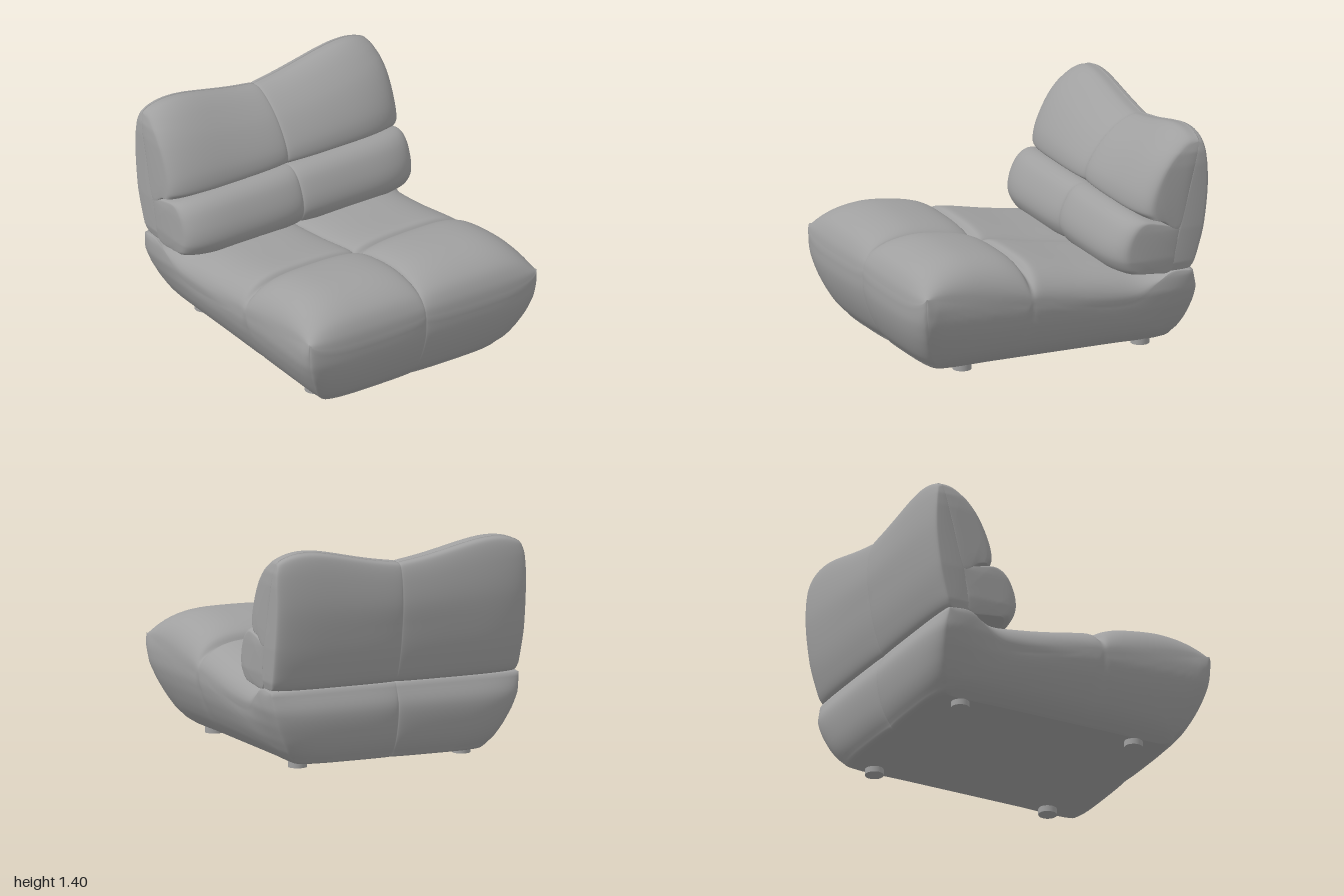
import * as THREE from 'three';
import { mergeVertices } from 'three/addons/utils/BufferGeometryUtils.js';

const upholstery = new THREE.MeshStandardMaterial({ color: 0xa0a0a0 });
upholstery.name = 'grey upholstery';

const HALF = 28;   // stations per half width
const N = 72;      // samples along each half of a cross-section
const ROWS = 14;   // rows on the side panels

// Smoothly sample a list of [z, y] points
function sample(points) {
  const curve = new THREE.CatmullRomCurve3(
    points.map(([z, y]) => new THREE.Vector3(0, y, z)), false, 'catmullrom', 0.5);
  return Array.from({ length: N + 1 }, (_, i) => curve.getPoint(i / N));
}

// Piecewise linear lookup in [[key, value], ...], eased between stops
function lookup(table, v) {
  if (v <= table[0][0]) return table[0][1];
  for (let i = 1; i < table.length; i++) {
    const [k0, v0] = table[i - 1], [k1, v1] = table[i];
    if (v <= k1) return v0 + (v1 - v0) * (v - k0) / (k1 - k0);
  }
  return table[table.length - 1][1];
}

// Padded form, lofted across x: full in the middle of each half, pinched at the
// centre seam and rounded off to the edge section at both sides.
function padded({ upper, lower, width, bulge, sag = 0, groove = null }) {
  const [um, ue, lm, le] = [upper.mid, upper.edge, lower.mid, lower.edge].map(sample);
  const pos = [], idx = [];
  const add = (x, y, z) => pos.push(x, Math.max(y, 0.037), z) / 3 - 1;
  const quad = (a, b, c, d) => idx.push(a, b, d, a, d, c);

  const station = (a) => {
    const t = Math.abs(a);
    const round = Math.sqrt(Math.max(0, 1 - Math.abs(2 * t - 1) ** 3));
    const fill = t < 0.5 ? 0.7 + 0.3 * round : round;
    const drop = sag * (1 - THREE.MathUtils.smoothstep(t, 0, 0.93));
    const put = (m, e) => {
      const y = e.y + (m.y - e.y) * fill, z = e.z + (m.z - e.z) * fill;
      return add(a * lookup(width, y), y - drop * Math.max(0, (y - 0.9) / 0.5), z);
    };
    const ring = um.map((m, i) => put(m, ue[i]));
    for (let i = N; i >= 0; i--) ring.push(put(lm[i], le[i]));
    return ring;
  };
  const rings = [];
  for (let i = -HALF; i <= HALF; i++) {
    rings.push(station(Math.sign(i) * (1 - Math.cos(Math.PI * Math.abs(i) / HALF)) / 2));
  }
  for (let i = 0; i < rings.length - 1; i++) {
    for (let j = 0; j < rings[i].length - 1; j++) {
      quad(rings[i][j], rings[i + 1][j], rings[i][j + 1], rings[i + 1][j + 1]);
    }
  }

  // Side panels
  for (const side of [1, -1]) {
    const rows = [];
    for (let r = 0; r <= ROWS; r++) {
      const t = r / ROWS;
      rows.push(ue.map((u, k) => {
        const p = u.clone().lerp(le[k], t);
        let swell = bulge * (1 - (2 * t - 1) ** 2) * Math.min(1, u.distanceTo(le[k]) / 0.25);
        if (groove !== null) swell *= 1 - 0.8 * Math.exp(-(((p.z - groove) / 0.02) ** 2));
        return add(side * (lookup(width, p.y) + swell), p.y, p.z);
      }));
    }
    for (let r = 0; r < ROWS; r++) {
      for (let k = 0; k < N; k++) {
        const [a, b, c, d] = [rows[r][k], rows[r + 1][k], rows[r][k + 1], rows[r + 1][k + 1]];
        if (side > 0) quad(a, b, c, d); else quad(a, c, b, d);
      }
    }
  }
  const geometry = new THREE.BufferGeometry();
  geometry.setAttribute('position', new THREE.Float32BufferAttribute(pos, 3));
  geometry.setIndex(idx);
  const welded = mergeVertices(geometry, 1e-4);
  welded.computeVertexNormals();
  return welded;
}

export function createModel() {
  const group = new THREE.Group();
  group.name = 'loungeChair';
  const part = (name, geometry) => {
    const mesh = new THREE.Mesh(geometry, upholstery);
    mesh.name = name;
    group.add(mesh);
    return mesh;
  };

  // Seat: two puffed front pads, a lower rear seat and a tapered base
  part('seatBase', padded({
    upper: {
      mid: [[1, .49], [.98, .59], [.92, .68], [.8, .742], [.63, .765], [.4, .735], [.27, .685], [.222, .62],
        [.175, .655], [.08, .645], [-.15, .6], [-.35, .57], [-.5, .545], [-.65, .53], [-.8, .535], [-.88, .52]],
      edge: [[.95, .58], [.93, .577], [.87, .568], [.77, .552], [.62, .525], [.4, .485], [.27, .462], [.222, .453],
        [.175, .445], [.08, .425], [-.15, .38], [-.35, .352], [-.5, .37], [-.62, .46], [-.72, .525], [-.86, .52]],
    },
    lower: {
      mid: [[1, .49], [.995, .38], [.96, .26], [.9, .14], [.84, .075], [.77, .04], [.4, .04], [0, .04],
        [-.4, .04], [-.77, .04], [-.85, .08], [-.91, .2], [-.935, .38], [-.88, .52]],
      edge: [[.95, .58], [.945, .45], [.91, .3], [.85, .16], [.8, .09], [.74, .04], [.4, .04], [0, .04],
        [-.4, .04], [-.73, .04], [-.78, .09], [-.83, .2], [-.87, .38], [-.86, .52]],
    },
    width: [[.04, .61], [.07, .65], [.12, .695], [.2, .742], [.3, .79], [.4, .825], [.5, .838], [.7, .842]],
    bulge: 0.018,
    groove: 0.222,
  }));

  // Lumbar roll
  part('lumbarCushion', padded({
    upper: {
      mid: [[-.41, .53], [-.36, .56], [-.325, .64], [-.34, .74], [-.4, .85], [-.48, .895], [-.58, .88], [-.77, .815]],
      edge: [[-.5, .54], [-.465, .57], [-.44, .64], [-.45, .73], [-.49, .81], [-.55, .85], [-.64, .84], [-.77, .805]],
    },
    lower: {
      mid: [[-.41, .53], [-.55, .525], [-.71, .53], [-.74, .66], [-.77, .815]],
      edge: [[-.5, .54], [-.58, .53], [-.71, .53], [-.74, .66], [-.77, .805]],
    },
    width: [[.5, .825], [.62, .84], [.8, .843], [.9, .84]],
    bulge: 0.006,
  }));

  const backWidth = [[.5, .815], [.58, .835], [.8, .845], [1.2, .845], [1.28, .84], [1.34, .825], [1.38, .805], [1.42, .79]];

  // Upper back cushion
  part('backCushion', padded({
    upper: {
      mid: [[-.54, .885], [-.502, .92], [-.515, 1.02], [-.57, 1.14], [-.65, 1.26], [-.75, 1.36], [-.84, 1.41], [-.915, 1.405]],
      edge: [[-.62, .87], [-.605, .92], [-.615, 1.0], [-.66, 1.12], [-.72, 1.22], [-.79, 1.29], [-.85, 1.33], [-.91, 1.34]],
    },
    lower: {
      mid: [[-.54, .885], [-.62, .86], [-.77, .81], [-.845, 1.1], [-.915, 1.405]],
      edge: [[-.62, .87], [-.67, .855], [-.77, .81], [-.84, 1.07], [-.91, 1.34]],
    },
    width: backWidth, bulge: 0.004, sag: 0.11,
  }));

  // Rear shell of the backrest
  part('backShell', padded({
    upper: {
      mid: [[-.71, .53], [-.77, .81], [-.845, 1.1], [-.91, 1.41]],
      edge: [[-.71, .53], [-.77, .81], [-.84, 1.07], [-.905, 1.34]],
    },
    lower: {
      mid: [[-.71, .53], [-.82, .525], [-.89, .54], [-.94, .66], [-.975, .82], [-.997, 1.05], [-.985, 1.25], [-.955, 1.38], [-.91, 1.41]],
      edge: [[-.71, .53], [-.8, .53], [-.85, .55], [-.89, .67], [-.925, .82], [-.95, 1.03], [-.95, 1.2], [-.935, 1.31], [-.905, 1.34]],
    },
    width: backWidth, bulge: 0.004, sag: 0.11,
  }));

  // Low round feet
  for (const x of [-0.555, 0.555]) {
    for (const z of [0.575, -0.635]) {
      part('foot', new THREE.CylinderGeometry(0.058, 0.058, 0.05, 32)).position.set(x, 0.025, z);
    }
  }
  return group;
}
